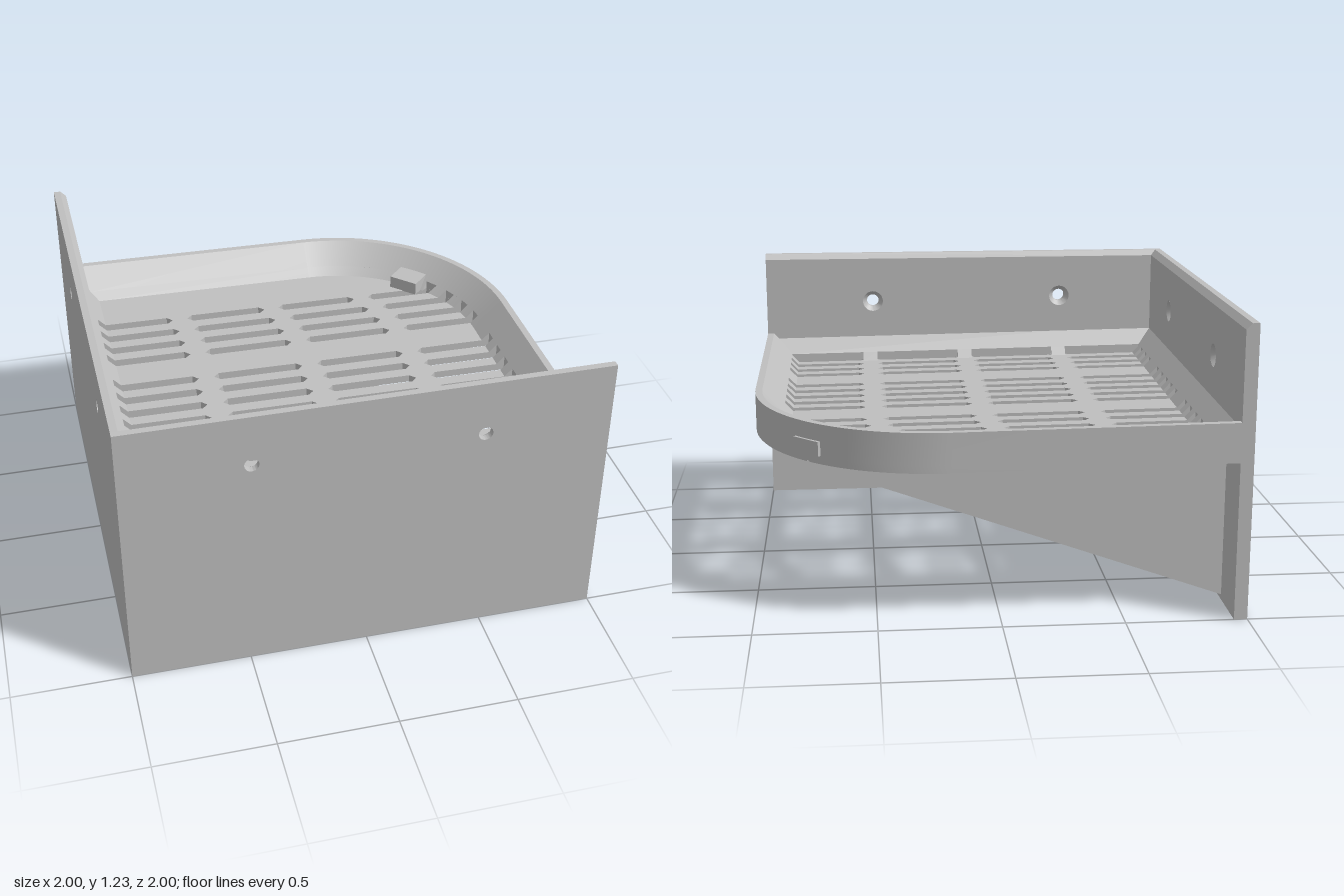
import * as THREE from 'three';
import { toCreasedNormals } from 'three/addons/utils/BufferGeometryUtils.js';

const WALL = 0.055, TOP = 1.225;
const BASE = 0.662, FLOOR = 0.695, RIM = 0.827; // tray heights before the drainage tilt
const TOE = 0.12, FOOT = 0.155;                 // insets of slot ends and of the bevel foot
const toeY = FLOOR + (RIM - FLOOR) * (FOOT - TOE) / (FOOT - 0.03);

const plastic = new THREE.MeshStandardMaterial({ color: 0xbfbfbf, side: THREE.DoubleSide });
plastic.name = 'grey plastic';

export function createModel() {
  const group = new THREE.Group();
  const add = (name, geo) => {
    const mesh = new THREE.Mesh(toCreasedNormals(geo, 0.4), plastic);
    mesh.name = name;
    group.add(mesh);
    return mesh;
  };

  // The tray falls slightly towards its rounded corner
  const tilt = (geo) => {
    const p = geo.attributes.position;
    for (let i = 0; i < p.count; i++) p.setY(i, p.getY(i) + 0.012 * (p.getZ(i) - p.getX(i)));
    return geo;
  };

  // Solid skinned over a row of matching cross-sections
  const skin = (sections, closed) => {
    const out = [], n = sections.length, k = sections[0].length;
    const tri = (a, b, c) => out.push(...a, ...b, ...c);
    for (let i = 0; i < (closed ? n : n - 1); i++) {
      const A = sections[i], B = sections[(i + 1) % n];
      for (let j = 0; j < k; j++) {
        const m = (j + 1) % k;
        tri(A[j], B[j], B[m]);
        tri(A[j], B[m], A[m]);
      }
    }
    if (!closed) for (let j = 1; j < k - 1; j++) {
      const A = sections[0], B = sections[n - 1];
      tri(A[0], A[j], A[j + 1]);
      tri(B[0], B[j + 1], B[j]);
    }
    const geo = new THREE.BufferGeometry();
    geo.setAttribute('position', new THREE.Float32BufferAttribute(out, 3));
    geo.computeVertexNormals();
    return geo;
  };

  // Tray outline [x, z], inset by o: square with one rounded corner
  const arcPoint = (a, o) => [0.2 + (0.8 - o) * Math.cos(a), -0.2 - (0.8 - o) * Math.sin(a)];
  const outline = (o) => {
    const pts = [[-1 + o, 1 - o], [1 - o, 1 - o]];
    for (let i = 0; i <= 32; i++) pts.push(arcPoint(i / 32 * Math.PI / 2, o));
    pts.push([-1 + o, -1 + o]);
    return pts;
  };
  const rightX = (z, o) => z > -0.2 ? 1 - o : 0.2 + Math.sqrt((0.8 - o) ** 2 - (z + 0.2) ** 2);

  // Slot rows, each with four slots; the outer ends are square, the inner ones pointed
  const half = 0.025;
  const rows = [-0.59, -0.485, -0.38, -0.275, -0.065, 0.04, 0.145, 0.25, 0.36, 0.57, 0.675, 0.78]
    .map((z) => [z - half, z + half]);
  rows.push([0.86, 0.88]);
  const gapsOf = (z) => {
    const end = rightX(z, TOE) + 0.085;
    return [1, 2, 3].map((i) => -0.94 + i * (end + 0.94) / 4);
  };

  // Slotted floor
  const vec = (pts) => pts.map(([x, z]) => new THREE.Vector2(x, -z));
  const floorShape = new THREE.Shape(vec(outline(0)));
  for (const [z0, z1] of rows) {
    const zm = (z0 + z1) / 2, gaps = gapsOf(zm), h = (z1 - z0) / 2;
    for (let c = 0; c < 4; c++) {
      const pts = [];
      if (c === 0) pts.push([-1 + TOE, z1], [-1 + TOE, z0]);
      else {
        const l = gaps[c - 1] + 0.035;
        pts.push([l + h, z1], [l, zm], [l + h, z0]);
      }
      if (c === 3) pts.push([rightX(z0, TOE), z0], [rightX(z1, TOE), z1]);
      else {
        const r = gaps[c] - 0.035;
        pts.push([r - h, z0], [r, zm], [r - h, z1]);
      }
      floorShape.holes.push(new THREE.Path(vec(pts)));
    }
  }
  const floor = new THREE.ExtrudeGeometry(floorShape, { depth: FLOOR - BASE, bevelEnabled: false });
  floor.rotateX(-Math.PI / 2).translate(0, BASE, 0);
  add('trayFloor', tilt(floor));

  // Rim with sloping inner face
  const profile = [[0, FLOOR], [0, RIM], [0.03, RIM], [TOE, toeY], [TOE, FLOOR]];
  const rings = profile.map(([o]) => outline(o));
  const rimSections = rings[0].map((_, i) =>
    profile.map(([, y], j) => [rings[j][i][0], y, rings[j][i][1]]));
  add('trayRim', tilt(skin(rimSections, true)));

  // Foot of the slope, left out where the slots cut into it
  const wedge = (at) => [at(TOE), at(TOE), at(FOOT)]
    .map(([x, z], i) => [x, i === 1 ? toeY : FLOOR, z]);
  const addToe = (ats) => add('slopeFoot', tilt(skin(ats.map(wedge), false)));
  for (let i = 0; i <= rows.length - 1; i++) {
    const z0 = i ? rows[i - 1][1] : -0.615, z1 = i === rows.length - 1 ? 0.86 : rows[i][0];
    if (z1 - z0 < 0.001) continue;
    const zs = [0, 0.25, 0.5, 0.75, 1].map((t) => z0 + (z1 - z0) * t);
    addToe(zs.map((z) => (o) => [rightX(z, o), z]));
    addToe([z0, z1].map((z) => (o) => [-1 + o, z]));
  }
  for (const x of gapsOf(0.87)) addToe([x - 0.035, x + 0.035].map((v) => (o) => [v, 1 - o]));
  const back = [];
  for (let i = 0; i <= 16; i++) {
    const a = 0.656 + (Math.PI / 2 - 0.656) * i / 16;
    back.push((o) => arcPoint(a, o));
  }
  back.push((o) => [-1 + o, -1 + o], (o) => [-1 + o, -0.615]);
  addToe(back);

  // Mounting walls: outer plate, chamfered inner plate and countersunk screw holes
  const wall = (name, holes, place) => {
    const plate = (r, from, to) => {
      const s = new THREE.Shape(vec([[-1, 0], [1, 0], [1, -TOP], [-1, -TOP]]));
      for (const [x, y] of holes) s.holes.push(new THREE.Path().absarc(x, y, r, 0, Math.PI * 2, true));
      return new THREE.ExtrudeGeometry(s, { depth: to - from, bevelEnabled: false, curveSegments: 24 })
        .translate(0, 0, from);
    };
    const inner = plate(0.05, -WALL, -0.03), p = inner.attributes.position;
    for (let i = 0; i < p.count; i++)
      if (p.getY(i) > TOP - 0.01 && p.getZ(i) < -0.04) p.setY(i, TOP - 0.025);
    inner.computeVertexNormals();
    add(name, place(plate(0.03, -0.03, 0)));
    add(name + 'Inner', place(inner));
    for (const [x, y] of holes) {
      const cone = new THREE.CylinderGeometry(0.03, 0.05, WALL - 0.03, 24, 1, true);
      add('countersink', place(cone.rotateX(Math.PI / 2).translate(x, y, -(WALL + 0.03) / 2)));
    }
  };
  wall('frontWall', [[-0.475, 1.0], [0.47, 0.985]], (g) => g.translate(0, 0, 1));
  wall('sideWall', [[0.47, 1.0], [-0.47, 0.985]],
    (g) => g.translate(0, 0, 1).rotateY(-Math.PI / 2));

  // Triangular ribs under the tray
  for (const [z, tip] of [[0.39, 0.97], [-0.198, 0.97], [-0.75, 0.77]]) {
    const y = (x) => BASE + 0.012 * (z - x) + 0.003;
    const s = new THREE.Shape(vec([[-0.95, -0.02], [tip, -y(tip) + 0.012], [tip, -y(tip)], [-0.95, -y(-0.95)]]));
    add('rib', new THREE.ExtrudeGeometry(s, { depth: 0.044, bevelEnabled: false }).translate(0, 0, z - 0.022));
  }

  // Drain spout through the rounded corner
  const spout = new THREE.BoxGeometry(0.22, 0.06, 0.14);
  spout.translate(0.7, 0, 0).rotateY(Math.PI / 4).translate(0.2, 0.708, -0.2);
  add('drainSpout', spout);

  return group;
}
